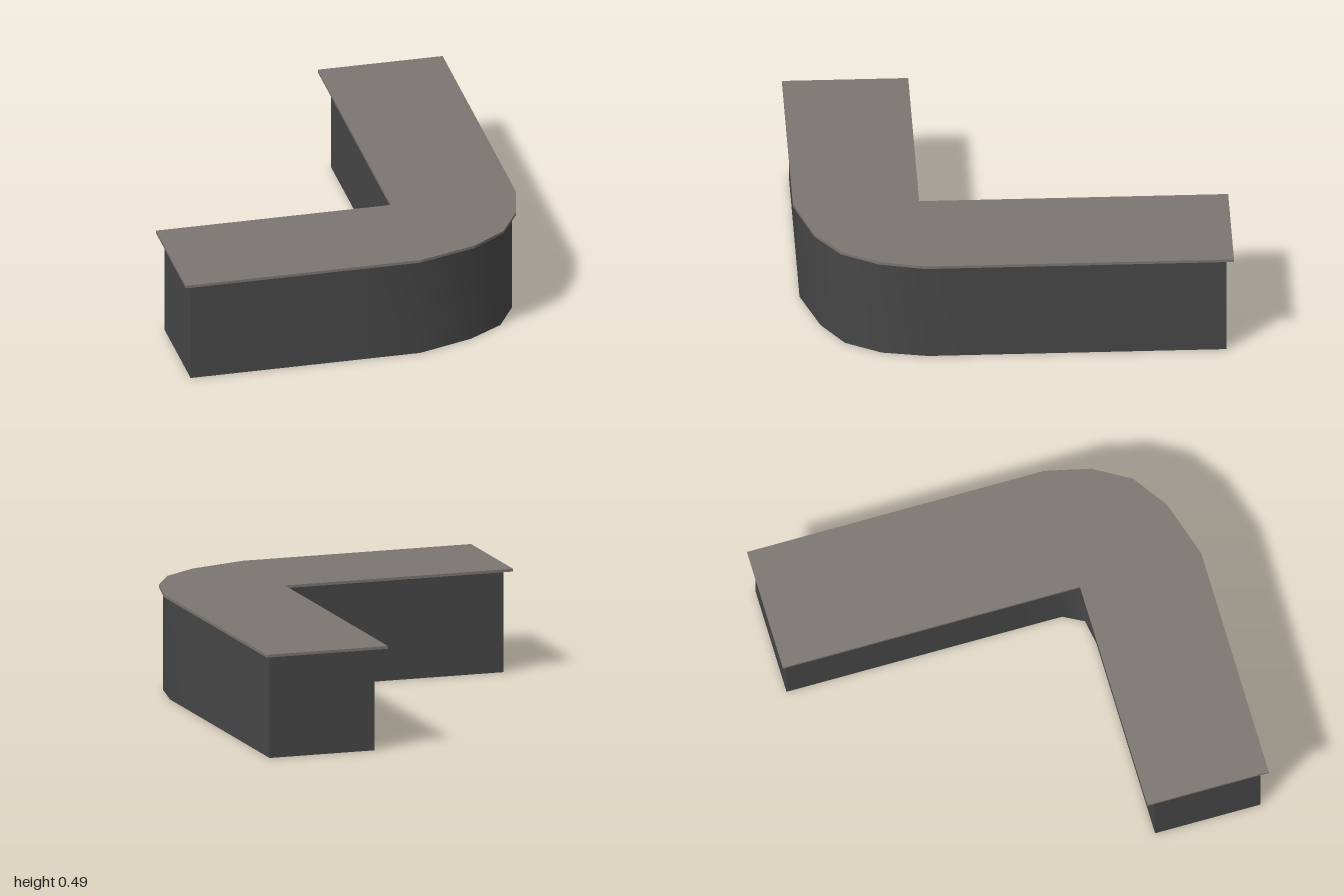
import * as THREE from 'three';

const TOP_Y = 0.492, SLAB = 0.013;

const wallMaterial = new THREE.MeshStandardMaterial({ color: 0x474747, side: THREE.DoubleSide });
wallMaterial.name = 'charcoal panel';
const topMaterial = new THREE.MeshStandardMaterial({ color: 0x7c7672 });
topMaterial.name = 'taupe worktop';

// Split the long straight runs so smooth shading stays near the bend
function subdivide(points, step = 0.22) {
  const out = [points[0]];
  for (let i = 1; i < points.length; i++) {
    const [ax, az] = points[i - 1], [bx, bz] = points[i];
    const n = Math.floor(Math.hypot(bx - ax, bz - az) / step);
    const parts = n > 2 ? n : 1;
    for (let k = 1; k <= parts; k++) {
      const t = k / parts;
      out.push([ax + (bx - ax) * t, az + (bz - az) * t]);
    }
  }
  return out;
}

// Thin vertical panel following a floor path of [x, z] points
function panel(name, path) {
  const points = subdivide(path);
  const positions = [], index = [];
  points.forEach(([x, z], i) => {
    positions.push(x, 0, z, x, TOP_Y - SLAB, z);
    if (i > 0) {
      const a = 2 * (i - 1);
      index.push(a, a + 2, a + 1, a + 1, a + 2, a + 3);
    }
  });
  const geometry = new THREE.BufferGeometry();
  geometry.setAttribute('position', new THREE.Float32BufferAttribute(positions, 3));
  geometry.setIndex(index);
  geometry.computeVertexNormals();
  const mesh = new THREE.Mesh(geometry, wallMaterial);
  mesh.name = name;
  return mesh;
}

export function createModel() {
  const group = new THREE.Group();
  group.name = 'cornerCounter';

  // Hollow base, open underneath
  group.add(
    panel('outerPanel', [[-0.82, 0.97], [0.265, 0.97], [0.525, 0.885], [0.69, 0.78], [0.785, 0.615], [0.825, 0.405], [0.825, -0.967]]),
    panel('backEndPanel', [[0.825, -0.967], [0.315, -0.967]]),
    panel('innerPanel', [[0.315, -0.967], [0.315, 0.35], [0.264, 0.445], [0.145, 0.465], [-0.82, 0.465]]),
    panel('sideEndPanel', [[-0.82, 0.465], [-0.82, 0.97]]),
  );

  // L-shaped worktop with a faceted outer corner; shape y is -z
  const outline = [[-0.85, 1], [0.26, 1], [0.535, 0.915], [0.7, 0.8], [0.8, 0.63], [0.85, 0.42], [0.85, -1], [0.26, -1], [0.26, 0.42], [-0.85, 0.42]];
  const shape = new THREE.Shape(outline.map(([x, z]) => new THREE.Vector2(x, -z)));
  const slab = new THREE.ExtrudeGeometry(shape, { depth: SLAB, bevelEnabled: false });
  slab.rotateX(-Math.PI / 2);
  slab.translate(0, TOP_Y - SLAB, 0);
  const worktop = new THREE.Mesh(slab, topMaterial);
  worktop.name = 'worktop';
  group.add(worktop);

  return group;
}
